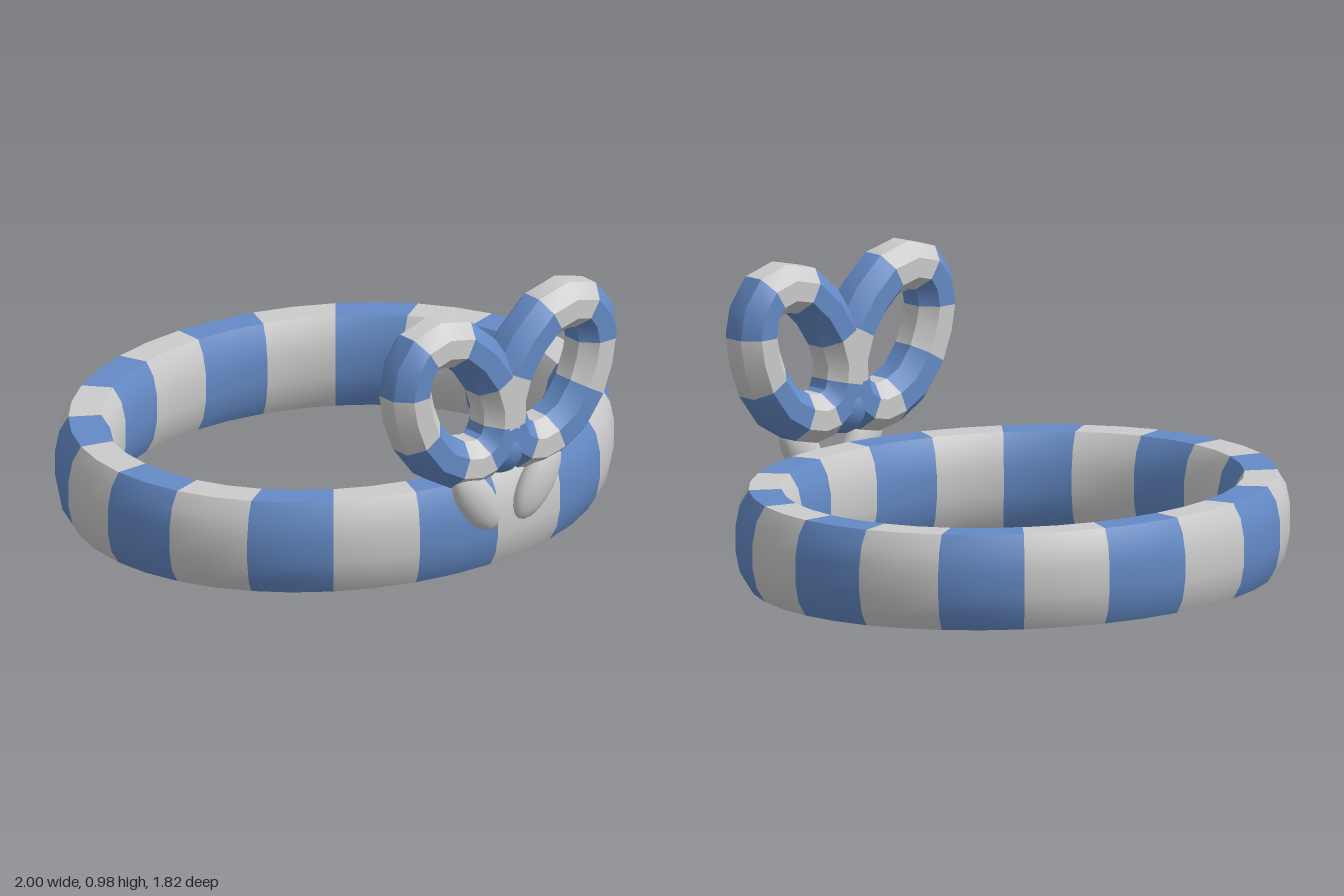
import * as THREE from 'three';
import { toCreasedNormals } from 'three/addons/utils/BufferGeometryUtils.js';

const grey = new THREE.MeshStandardMaterial({ color: 0xcccccc });
const blue = new THREE.MeshStandardMaterial({ color: 0x648ac6 });

// Closed tube swept through rings of points; the colour alternates every `perStripe` rings
function stripedTube(name, rings, perStripe) {
  const sides = rings[0].length, n = rings.length, index = [];
  for (let i = 0; i < n; i++) {
    for (let j = 0; j < sides; j++) {
      const a = i * sides + j, b = i * sides + (j + 1) % sides;
      const c = ((i + 1) % n) * sides + j, d = ((i + 1) % n) * sides + (j + 1) % sides;
      index.push(a, c, d, a, d, b);
    }
  }
  const base = new THREE.BufferGeometry().setFromPoints(rings.flat());
  base.setIndex(index);
  const geo = toCreasedNormals(base, 0.6);
  const size = perStripe * sides * 6;
  for (let s = 0; s < n / perStripe; s++) geo.addGroup(s * size, size, s % 2);
  const mesh = new THREE.Mesh(geo, [grey, blue]);
  mesh.name = name;
  return mesh;
}

// Oval headband: tall band with rounded sides and flat rims, 20 stripes
function headband() {
  const upper = [[1, 0.21], [0.985, 0.28], [0.953, 0.33], [0.835, 0.33], [0.803, 0.28], [0.787, 0.21]];
  const lower = upper.map(([r, y]) => [r, 0.33 - y]).reverse();
  const profile = [...upper, ...lower];
  const rings = [];
  for (let i = 0; i < 40; i++) {
    const a = i / 40 * Math.PI * 2;
    rings.push(profile.map(([r, y]) =>
      new THREE.Vector3(r * Math.sin(a), y, -0.05 + 0.86 * r * Math.cos(a))));
  }
  return stripedTube('headband', rings, 2);
}

// Bow loop: octagonal tube along a leaning oval, 8 stripes
function bowLoop(side) {
  const path = [
    [0.355, 0.88], [0.28, 0.9], [0.19, 0.88], [0.105, 0.805],
    [0.04, 0.71], [0.01, 0.62], [0.012, 0.54], [0.04, 0.475],
    [0.09, 0.44], [0.14, 0.43], [0.21, 0.445], [0.29, 0.49],
    [0.36, 0.58], [0.395, 0.67], [0.41, 0.75], [0.395, 0.825],
  ];
  const n = path.length;
  const rings = path.map(([x, y], i) => {
    const [x0, y0] = path[(i + n - 1) % n], [x1, y1] = path[(i + 1) % n];
    const out = new THREE.Vector2(y1 - y0, x0 - x1).normalize();
    return Array.from({ length: 8 }, (_, j) => {
      const a = (j + 0.5) * Math.PI / 4, u = 0.09 * Math.cos(a);
      return new THREE.Vector3(side * (x + out.x * u), y + out.y * u,
        0.81 + side * 0.097 * Math.sin(a));
    });
  });
  return stripedTube(side > 0 ? 'leftBowLoop' : 'rightBowLoop', rings, 2);
}

// Flattened ball used for the knot and the tails
function ball(name, material, position, radii, tilt = 0) {
  const mesh = new THREE.Mesh(new THREE.SphereGeometry(1, 16, 10), material);
  mesh.name = name;
  mesh.position.set(...position);
  mesh.scale.set(...radii);
  mesh.rotation.z = tilt;
  return mesh;
}

export function createModel() {
  const model = new THREE.Group();
  model.name = 'stripedHeadband';
  model.add(headband());

  const bow = new THREE.Group();
  bow.name = 'bow';
  bow.add(ball('knot', blue, [0, 0.455, 0.81], [0.085, 0.1, 0.097]));
  for (const side of [1, -1]) {
    bow.add(bowLoop(side));
    bow.add(ball(side > 0 ? 'leftTail' : 'rightTail', grey,
      [side * 0.135, 0.3, 0.855], [0.07, 0.145, 0.046], -side * 0.6));
  }
  model.add(bow);
  return model;
}
